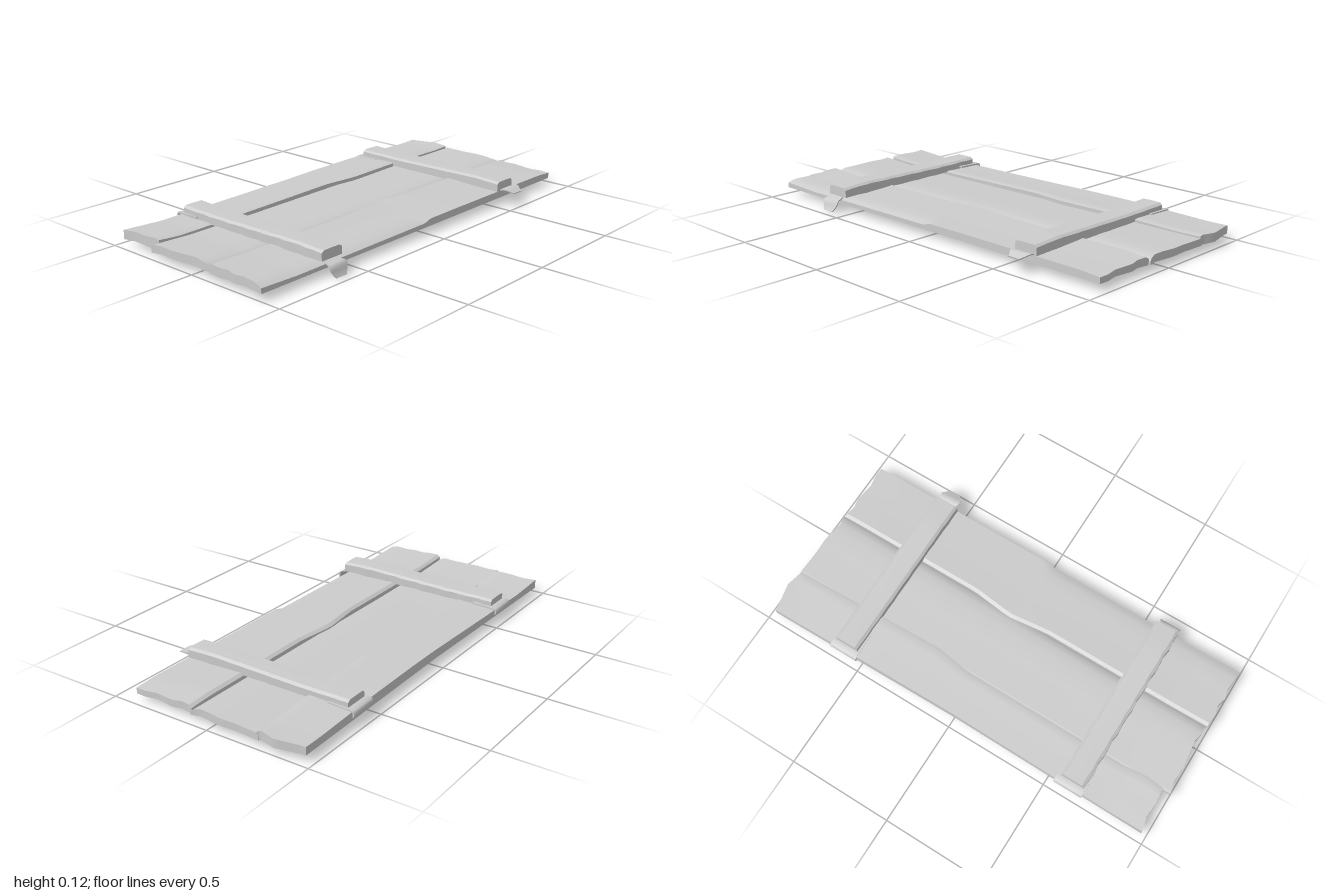
import * as THREE from 'three';
import { toCreasedNormals } from 'three/addons/utils/BufferGeometryUtils.js';

// piecewise-linear curve through [position, value] pairs
function curve(pts, t) {
  if (t <= pts[0][0]) return pts[0][1];
  for (let i = 1; i < pts.length; i++) {
    const [a, va] = pts[i - 1], [b, vb] = pts[i];
    if (t <= b) return va + (vb - va) * (t - a) / (b - a);
  }
  return pts[pts.length - 1][1];
}

// closed slab: at(i, j) returns [top point, bottom point]; (j direction) x (i direction) points up
function slab(nu, nv, at, crease = 0.5) {
  const p = [], g = [];
  for (let i = 0; i <= nu; i++) {
    g.push([]);
    for (let j = 0; j <= nv; j++) g[i].push(at(i, j));
  }
  const quad = (a, b, c, d) => p.push(...a, ...b, ...c, ...a, ...c, ...d);
  const T = (i, j) => g[i][j][0], B = (i, j) => g[i][j][1];
  for (let i = 0; i < nu; i++) {
    for (let j = 0; j < nv; j++) {
      quad(T(i, j), T(i, j + 1), T(i + 1, j + 1), T(i + 1, j));
      quad(B(i, j), B(i + 1, j), B(i + 1, j + 1), B(i, j + 1));
    }
    quad(T(i, 0), T(i + 1, 0), B(i + 1, 0), B(i, 0));
    quad(T(i, nv), B(i, nv), B(i + 1, nv), T(i + 1, nv));
  }
  for (let j = 0; j < nv; j++) {
    quad(T(0, j), B(0, j), B(0, j + 1), T(0, j + 1));
    quad(T(nu, j), T(nu, j + 1), B(nu, j + 1), B(nu, j));
  }
  const geo = new THREE.BufferGeometry();
  geo.setAttribute('position', new THREE.Float32BufferAttribute(p, 3));
  return toCreasedNormals(geo, crease);
}

const BASE = 0.032;

// board along x; back/front give its edges, ends its worn tips, height its top
function plank({ back, front, rows, left, right, height }) {
  const nu = 50;
  return slab(nu, rows.length - 1, (i, j) => {
    const v = rows[j], u = i / nu, nominal = -1 + 2 * u;
    const z = back(nominal) + (front(nominal) - back(nominal)) * v;
    const x = curve(left, v) * (1 - u) + curve(right, v) * u;
    return [[x, height(nominal, v), z], [x, BASE, z]];
  });
}

// ribbon along z from stations [z, y, half width]
function ribbon(cx, stations, thickness) {
  return slab(stations.length - 1, 2, (i, j) => {
    const [z, y, w] = stations[i];
    const a = stations[Math.max(i - 1, 0)], b = stations[Math.min(i + 1, stations.length - 1)];
    const len = Math.hypot(b[0] - a[0], b[1] - a[1]);
    const nz = -(b[1] - a[1]) / len * thickness, ny = (b[0] - a[0]) / len * thickness;
    const x = cx + w * (1 - j);
    return [[x, y, z], [x, y - ny, z - nz]];
  }, 0.9);
}

export function createModel() {
  const group = new THREE.Group();
  const wood = new THREE.MeshStandardMaterial({ color: 0xcccccc });
  wood.name = 'grey wood';
  const add = (name, geometry) => {
    const mesh = new THREE.Mesh(geometry, wood);
    mesh.name = name;
    group.add(mesh);
  };

  // back board, raised, with a splintered bulge along its front edge
  const backTop = [[-1, 0.08], [-0.8, 0.069], [-0.4, 0.074], [0.2, 0.083], [0.5, 0.083], [0.9, 0.073], [1, 0.075]];
  const splinter = [[-1, -0.25], [-0.9, -0.24], [-0.8, -0.252], [0.05, -0.252], [0.22, -0.227], [0.5, -0.236], [1, -0.25]];
  add('backPlank', plank({
    back: x => curve([[-1, -0.465], [0, -0.455], [1, -0.468]], x),
    front: x => curve(splinter, x),
    rows: [0, 0.12, 0.3, 0.5, 0.62, 0.8, 0.93, 1],
    left: [[0, -0.975], [0.3, -0.96], [0.62, -0.965], [1, -0.958]],
    right: [[0, 0.97], [0.12, 0.972], [0.62, 0.995], [0.93, 0.978], [1, 0.98]],
    height: (x, v) => curve(backTop, x) - curve([[0, 0.006], [0.4, 0.004], [0.93, 0], [1, 0.004]], v),
  }));

  // middle board, hollow across its width
  const midTop = [[-1, 0.072], [-0.8, 0.063], [-0.4, 0.062], [0.2, 0.066], [0.6, 0.067], [1, 0.068]];
  add('middlePlank', plank({
    back: () => -0.252,
    front: () => 0.098,
    rows: [0, 0.03, 0.15, 0.35, 0.55, 0.75, 0.88, 0.96, 1],
    left: [[0, -0.998], [0.15, -0.985], [0.35, -0.99], [0.75, -0.975], [0.88, -0.985], [1, -0.98]],
    right: [[0, 0.985], [0.35, 0.978], [0.55, 0.982], [0.88, 0.968], [1, 0.98]],
    height: (x, v) => curve(midTop, x) - curve([[0, 0.018], [0.03, 0.004], [0.35, 0.003], [0.75, 0], [0.88, 0.003], [0.96, 0.009], [1, 0.02]], v),
  }));

  // front board, with the near edge worn down along its right half
  add('frontPlank', plank({
    back: x => 0.098 - curve([[-0.15, 0], [0.05, 0.024], [0.25, 0]], x),
    front: () => 0.402,
    rows: [0, 0.05, 0.2, 0.35, 0.5, 0.65, 0.85, 0.93, 1],
    left: [[0, -0.99], [0.2, -0.995], [0.35, -0.985], [0.5, -0.995], [0.65, -0.985], [1, -0.998]],
    right: [[0, 0.972], [0.2, 0.962], [0.35, 0.972], [0.65, 0.96], [0.85, 0.972], [1, 0.97]],
    height: (x, v) => {
      const top = curve([[0, 0.064], [0.05, 0.074], [0.2, 0.072], [0.5, 0.068], [1, 0.065]], v);
      const worn = x < 0.03 ? curve([[0.85, 0], [0.93, 0.004], [1, 0.012]], v) : 0;
      return top - worn + curve([[-1, 0.003], [-0.8, -0.004], [0.2, 0.001], [0.9, 0], [1, -0.006]], x);
    },
  }));

  // cross battens with narrow chamfers and a gently bowed top
  const bow = [[-0.44, 0.11], [-0.2, 0.108], [0.05, 0.112], [0.27, 0.116], [0.402, 0.11]];
  const section = [[1, 0.009], [0.78, 0], [0, -0.001], [-0.78, 0], [-1, 0.009]];
  const batten = (cx, worn) => slab(20, 4, (i, j) => {
    const z = -0.438 + 0.84 * i / 20;
    const [s, drop] = section[j];
    const x = cx + s * (0.058 + worn * Math.sin(i * 2.3 + j));
    return [[x, curve(bow, z) - drop, z], [x, 0.066, z]];
  });
  add('rightBatten', batten(-0.61, 0.003));
  add('leftBatten', batten(0.588, 0.001));

  for (const [side, cx] of [['right', -0.605], ['left', 0.588]]) {
    // strap folded over the back edge
    add(side + 'BackStrap', ribbon(cx, [
      [-0.474, 0.05, 0.07], [-0.475, 0.068, 0.07], [-0.468, 0.077, 0.07],
      [-0.44, 0.079, 0.07], [-0.345, 0.081, 0.068],
    ], 0.007));
  }

  // loose strap ends at the front: one drooping, one curling out
  add('rightFrontStrap', ribbon(-0.613, [
    [0.36, 0.073, 0.04], [0.4, 0.066, 0.04], [0.418, 0.058, 0.042], [0.432, 0.057, 0.047],
    [0.444, 0.047, 0.052], [0.448, 0.03, 0.046], [0.455, 0.014, 0.037], [0.461, 0.004, 0.03],
  ], 0.005));
  add('leftFrontStrap', ribbon(0.592, [
    [0.36, 0.074, 0.04], [0.4, 0.071, 0.04], [0.415, 0.077, 0.046], [0.43, 0.082, 0.053],
    [0.445, 0.08, 0.05], [0.46, 0.072, 0.038], [0.476, 0.066, 0.029],
  ], 0.005));

  return group;
}
